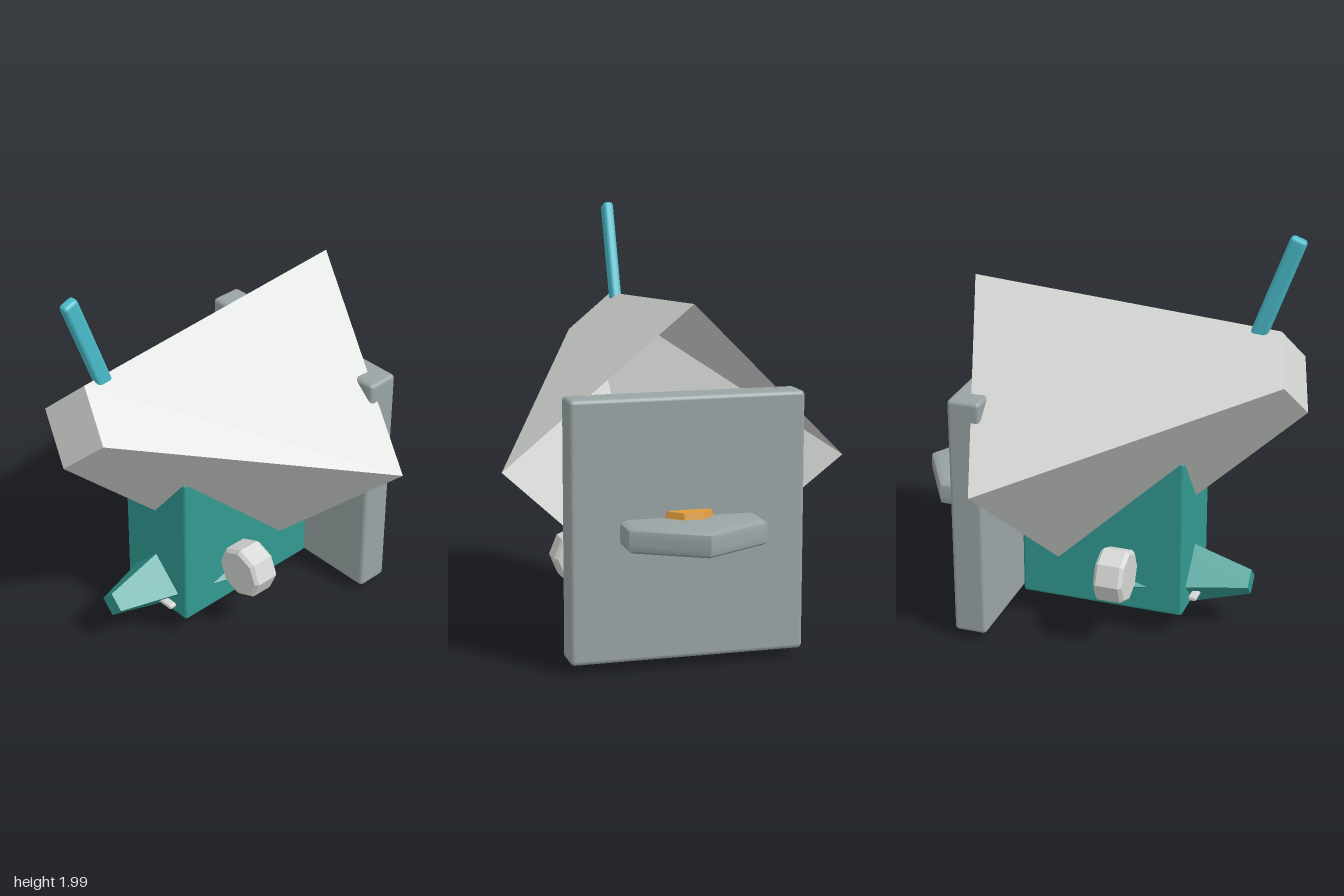
import * as THREE from 'three';
import { RoundedBoxGeometry } from 'three/addons/geometries/RoundedBoxGeometry.js';
import { toCreasedNormals } from 'three/addons/utils/BufferGeometryUtils.js';

function material(name, color) {
  const m = new THREE.MeshStandardMaterial({ color });
  m.name = name;
  return m;
}

// Geometry with hard facets
const faceted = (g) => toCreasedNormals(g, 0.4);

export function createModel() {
  const group = new THREE.Group();
  const lightGrey = material('light grey', 0xd3d6d3);
  lightGrey.side = THREE.DoubleSide;
  const grey = material('mid grey', 0x9aa4a5);
  const teal = material('teal', 0x329a92);
  const cyan = material('cyan', 0x4abccb);
  const gold = material('gold', 0xdd9c3c);

  function add(name, geometry, mat, x, y, z, rx = 0, parent = group) {
    const mesh = new THREE.Mesh(geometry, mat);
    mesh.name = name;
    mesh.position.set(x, y, z);
    mesh.rotation.x = rx;
    parent.add(mesh);
    return mesh;
  }
  const box = (w, h, d, r = 0.015) => new RoundedBoxGeometry(w, h, d, 2, r);

  // Four-sided head, tilted up, hollow and open at the back
  const tilt = THREE.MathUtils.degToRad(20);
  const head = new THREE.Group();
  head.name = 'head';
  head.position.set(0, 1.13, 0.235);
  head.rotation.x = Math.PI / 2 - tilt;
  group.add(head);
  add('headShell', faceted(new THREE.CylinderGeometry(0.2, 0.8, 1.35, 4, 1, true)),
    lightGrey, 0, 0, 0, 0, head);
  add('headTip', new THREE.CircleGeometry(0.2, 4), lightGrey, 0, 0.675, 0, -Math.PI / 2, head);

  // Horn rising from the head
  add('horn', box(0.052, 0.52, 0.078, 0.018), cyan, 0, 1.748, 0.778, tilt);

  // Body block and back plate
  add('body', box(0.42, 0.8, 0.8), teal, 0, 0.53, 0.02);
  add('backPlate', box(1.08, 1.19, 0.16, 0.02), grey, 0, 0.645, -0.525);

  // Four-sided snout through the lower body, with a thin cross bar
  add('snout', faceted(new THREE.CylinderGeometry(0.065, 0.253, 0.59, 4)),
    teal, 0, 0.26, 0.405, Math.PI / 2);
  add('snoutBar', box(0.32, 0.025, 0.04, 0.01), lightGrey, 0, 0.205, 0.455);

  // Eight-sided wheels with chamfered rims
  const rim = [[0, -0.07], [0.115, -0.07], [0.131, -0.054], [0.131, 0.054], [0.115, 0.07], [0, 0.07]]
    .map(([r, y]) => new THREE.Vector2(r, y));
  for (const side of [1, -1]) {
    add(side > 0 ? 'leftWheel' : 'rightWheel', faceted(new THREE.LatheGeometry(rim, 8)),
      lightGrey, side * 0.333, 0.37, 0.13, Math.PI / 2);
  }

  // Hexagonal shelf with a rounded edge, set through the back plate
  const hex = new THREE.Shape();
  for (let i = 0; i < 6; i++) {
    const a = Math.PI / 6 + (i * Math.PI) / 3;
    hex[i ? 'lineTo' : 'moveTo'](0.32 * Math.cos(a), 0.32 * Math.sin(a));
  }
  hex.closePath();
  const shelf = new THREE.ExtrudeGeometry(hex, {
    depth: 0.02, bevelEnabled: true, bevelThickness: 0.05, bevelSize: 0.05, bevelSegments: 4,
  });
  shelf.translate(0, 0, -0.01);
  shelf.rotateX(-Math.PI / 2);
  // Pull the points of the hexagon in slightly, to blunt its corners
  const p = shelf.attributes.position;
  for (let i = 0; i < p.count; i++) {
    const r = Math.hypot(p.getX(i), p.getZ(i));
    const k = r > 0.365 ? 0.365 / r : 1;
    p.setX(i, p.getX(i) * k);
    p.setZ(i, p.getZ(i) * k);
  }
  shelf.computeVertexNormals();
  add('shelf', toCreasedNormals(shelf, 0.6), grey, 0, 0.64, -0.572);

  // Gold button on the shelf
  add('button', faceted(new THREE.CylinderGeometry(0.11, 0.125, 0.06, 8).rotateY(Math.PI / 8)),
    gold, 0, 0.7, -0.572);

  return group;
}
